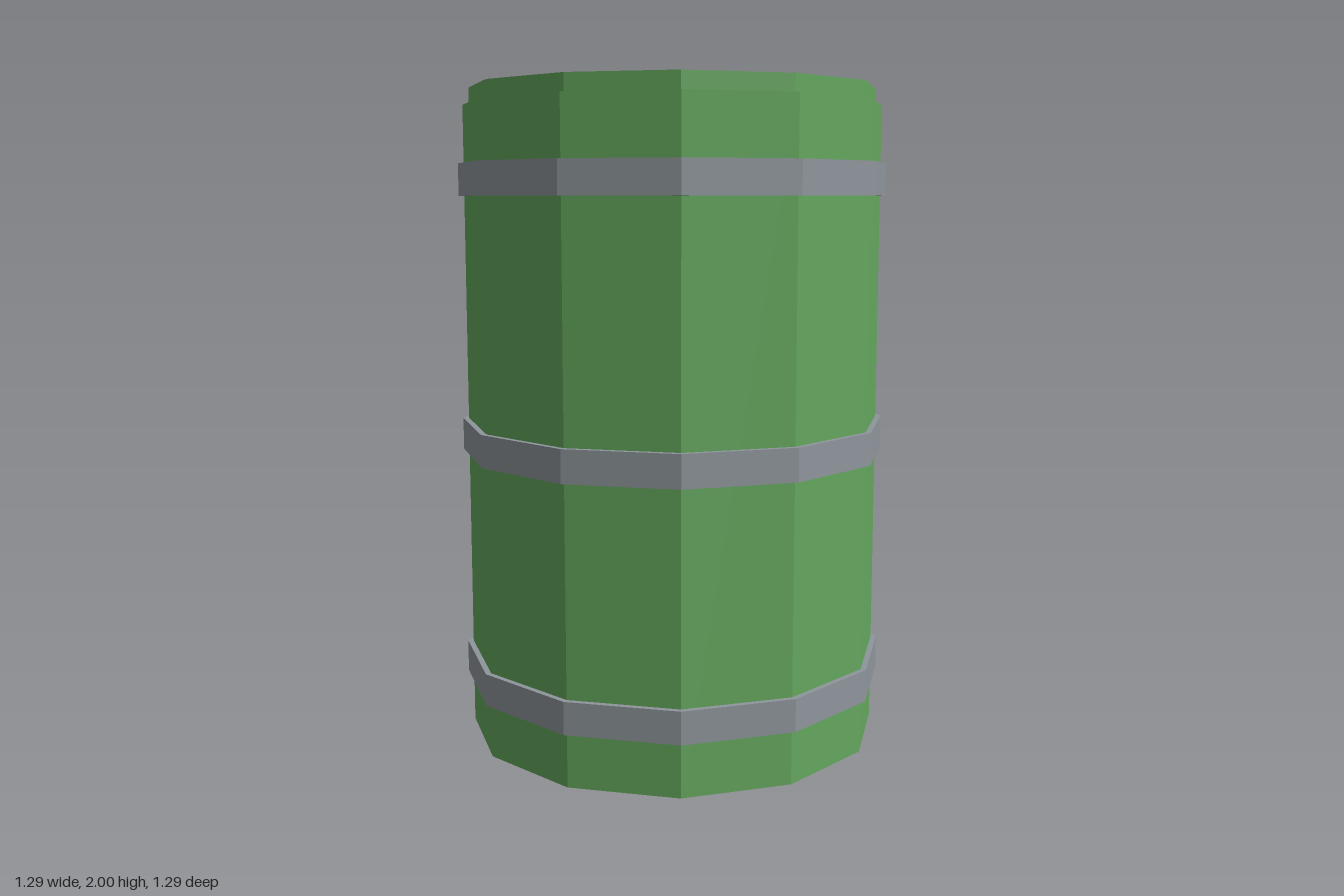
import * as THREE from 'three';

export function createModel() {
  const paint = (name, color) => {
    const m = new THREE.MeshStandardMaterial({ color, flatShading: true });
    m.name = name;
    return m;
  };
  const green = paint('green paint', 0x64a85e);
  const steel = paint('grey steel', 0x8f969c);
  const dark = paint('dark cap', 0x3c3f49);

  const barrel = new THREE.Group();
  barrel.name = 'barrel';

  // Upright prism from y0 to y1
  const drum = (name, material, radius, y0, y1, sides = 12, x = 0) => {
    const mesh = new THREE.Mesh(new THREE.CylinderGeometry(radius, radius, y1 - y0, sides), material);
    mesh.name = name;
    mesh.position.set(x, (y0 + y1) / 2, 0);
    barrel.add(mesh);
  };

  drum('body', green, 0.627, 0, 1.905);
  drum('lid', green, 0.608, 1.905, 1.955);

  // Hoops around the body
  const hoops = { lowerHoop: 0.207, middleHoop: 0.915, upperHoop: 1.685 };
  for (const [name, y] of Object.entries(hoops)) drum(name, steel, 0.644, y - 0.048, y + 0.048);

  // Off-centre filler cap
  drum('fillerCap', dark, 0.09, 1.955, 2, 8, 0.283);

  return barrel;
}
